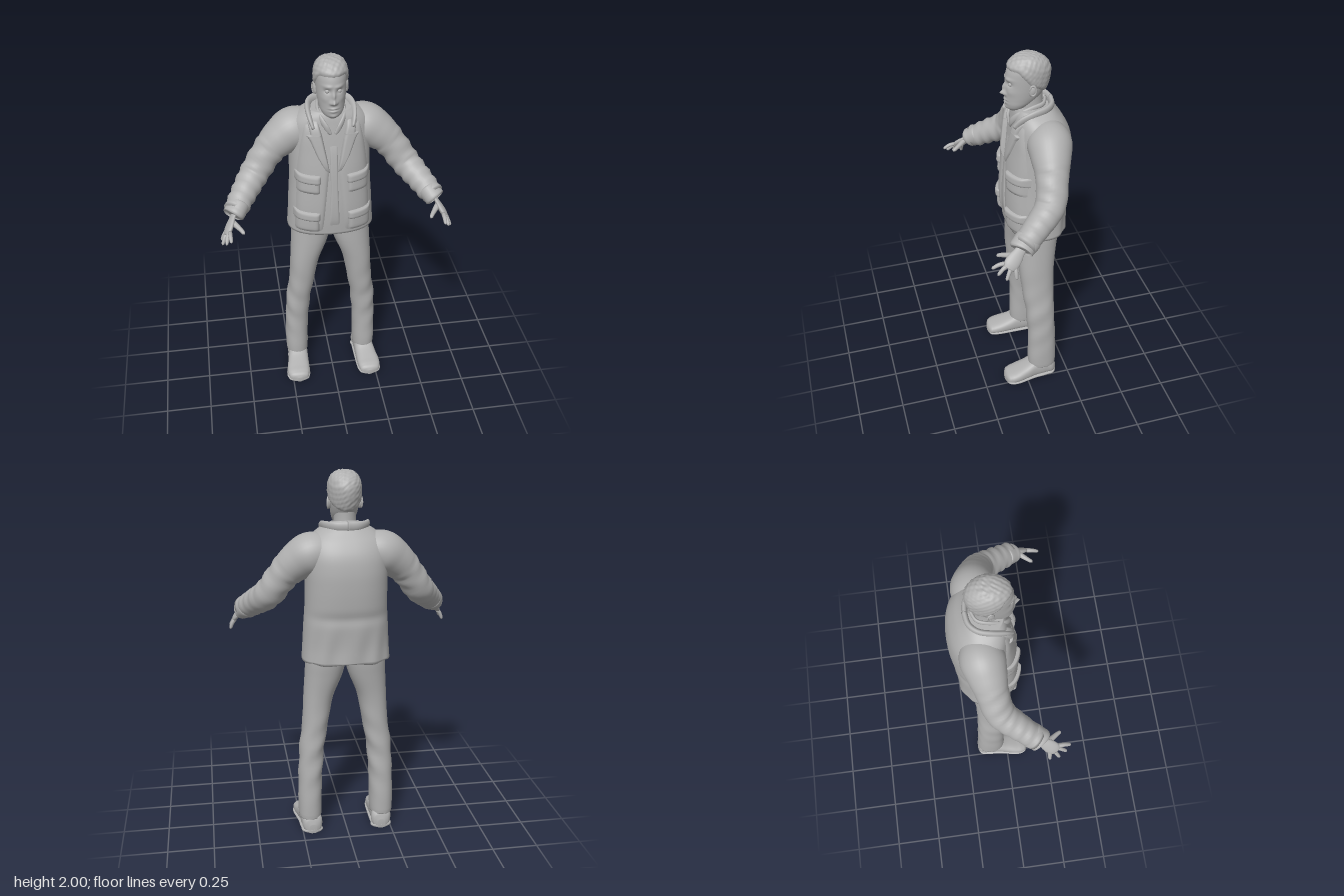
import * as THREE from 'three';

const cloth = new THREE.MeshStandardMaterial({ color: 0xb0b0b0 });
cloth.name = 'plain grey';

// Smooth grid surface; closed surfaces wrap in u and get end caps.
function surface(fn, nu, nv, closed = true) {
  const pos = [], idx = [], w = closed ? nu : nu + 1;
  for (let j = 0; j <= nv; j++) for (let i = 0; i < w; i++) pos.push(...fn(i / nu, j / nv));
  for (let j = 0; j < nv; j++) for (let i = 0; i < nu; i++) {
    const k = (i + 1) % w, a = j * w + i, b = j * w + k;
    idx.push(a, a + w, b, b, a + w, b + w);
  }
  if (closed) for (const j of [0, nv]) {
    const c = [0, 0, 0], n = pos.length / 3;
    for (let i = 0; i < w; i++) for (let d = 0; d < 3; d++) c[d] += pos[(j * w + i) * 3 + d] / w;
    pos.push(...c);
    for (let i = 0; i < w; i++) {
      const a = j * w + i, b = j * w + (i + 1) % w;
      if (j === 0) idx.push(n, a, b); else idx.push(n, b, a);
    }
  }
  const g = new THREE.BufferGeometry();
  g.setAttribute('position', new THREE.Float32BufferAttribute(pos, 3));
  g.setIndex(idx);
  g.computeVertexNormals();
  return g;
}

function mirrored(geo) {
  const g = geo.clone().scale(-1, 1, 1), ix = g.index.array;
  for (let i = 0; i < ix.length; i += 3) [ix[i], ix[i + 1]] = [ix[i + 1], ix[i]];
  g.computeVertexNormals();
  return g;
}

// Smooth interpolation of rows keyed by their first number.
function sampler(rows) {
  const n = rows[0].length;
  const it = new THREE.CubicInterpolant(rows.map(r => r[0]), rows.flat(), n, new Float32Array(n));
  return k => Array.from(it.evaluate(k));
}
const keyAt = (rows, v) => {
  const t = v * (rows.length - 1), i = Math.min(Math.floor(t), rows.length - 2);
  return THREE.MathUtils.lerp(rows[i][0], rows[i + 1][0], t - i);
};
const spow = (c, n) => Math.sign(c) * Math.abs(c) ** (2 / n);

// Upright body from rows [y, centre x, half width, front z, back z].
function loft(rows, { n = 2, seg = 40, sub = 6, deform = p => p } = {}) {
  const at = sampler(rows);
  return surface((u, v) => {
    const [y, cx, rx, zf, zb] = at(keyAt(rows, v)), a = u * Math.PI * 2;
    return deform([cx + rx * spow(Math.cos(a), n), y, (zf + zb) / 2 + (zf - zb) / 2 * spow(Math.sin(a), n)], a);
  }, seg, sub * (rows.length - 1));
}

// Tapered tube along points [x, y, z, radius]; flat squashes it across the wide axis.
function limb(pts, { wide = [0, 0, 1], flat = 1, seg = 20, sub = 6, deform = p => p } = {}) {
  const curve = new THREE.CatmullRomCurve3(pts.map(p => new THREE.Vector3(...p)));
  const rad = sampler(pts.map((p, i) => [i, p[3]]));
  return surface((u, v) => {
    const T = curve.getTangent(v), a = u * Math.PI * 2, r = rad(v * (pts.length - 1))[1];
    const N = new THREE.Vector3(...wide).addScaledVector(T, -T.dot(new THREE.Vector3(...wide))).normalize();
    const B = N.clone().cross(T);
    const p = curve.getPoint(v).addScaledVector(N, r * Math.cos(a)).addScaledVector(B, r * flat * Math.sin(a));
    return deform([p.x, p.y, p.z], v);
  }, seg, sub * (pts.length - 1));
}

const TORSO = [
  [1.02, 0, .236, .062, -.255], [1.1, 0, .23, .068, -.255], [1.2, 0, .224, .07, -.262], [1.3, 0, .217, .066, -.27],
  [1.42, 0, .214, .058, -.279], [1.52, 0, .214, .045, -.278], [1.6, 0, .212, .034, -.262],
  [1.66, 0, .195, .024, -.23], [1.7, 0, .155, .016, -.198], [1.728, 0, .11, .006, -.175]];
const torsoAt = sampler(TORSO), TN = 2.4;
const frontZ = (x, y) => {
  const [, , rx, zf, zb] = torsoAt(y);
  return (zf + zb) / 2 + (zf - zb) / 2 * Math.max(0, 1 - Math.abs(x / rx) ** TN) ** (1 / TN);
};

// Raised cloth panel on the chest from rows [y, inner x, outer x].
function panel(rows, thick, lift = 0) {
  const edge = t => 1 - Math.abs(2 * t - 1) ** 8;
  return surface((u, v) => {
    const t = v * (rows.length - 1), i = Math.min(Math.floor(t), rows.length - 2);
    const [y, x0, x1] = rows[i].map((q, k) => THREE.MathUtils.lerp(q, rows[i + 1][k], t - i));
    const x = THREE.MathUtils.lerp(x1, x0, u);
    return [x, y, frontZ(x, y) - .006 + (thick + lift + .006) * edge(u) * edge(v)];
  }, 16, 8 * (rows.length - 1), false);
}

const HEAD = [
  [1.708, 0, .02, .035, -.01], [1.722, 0, .042, .048, -.04], [1.745, 0, .058, .056, -.075], [1.775, 0, .067, .058, -.115],
  [1.81, 0, .073, .058, -.142], [1.85, 0, .077, .056, -.158], [1.89, 0, .079, .054, -.166], [1.925, 0, .079, .046, -.164],
  [1.955, 0, .071, .03, -.148], [1.977, 0, .054, .004, -.12], [1.988, 0, .034, -.022, -.092], [1.992, 0, .006, -.05, -.064]];
// Face relief: [x, y, spread x, spread y, depth]
const FACE = [[0, 1.807, .011, .012, .024], [0, 1.838, .008, .022, .014], [.015, 1.802, .007, .008, .007],
  [.03, 1.86, .016, .011, -.011], [.028, 1.886, .022, .008, .006], [0, 1.772, .02, .005, .007],
  [0, 1.756, .017, .005, .006], [0, 1.764, .024, .003, -.004], [0, 1.728, .02, .01, .006], [.045, 1.82, .018, .018, .004]];
const faceRelief = ([x, y, z], a) => {
  if (Math.sin(a) > 0) for (const [cx, cy, sx, sy, d] of FACE)
    z += d * Math.exp(-(((Math.abs(x) - cx) / sx) ** 2) - ((y - cy) / sy) ** 2);
  return [x, y, z];
};
// Hair swells out above the hairline and sinks under the skin below it.
const hairSwell = ([x, y, z], a) => {
  const s = Math.sin(a), line = s > 0 ? 1.86 + .07 * Math.min(1, s * 1.6) : 1.86 + .06 * s;
  const tuft = Math.sin(x * 210 + y * 90) * Math.sin(z * 190 + x * 60) * Math.sin(y * 160 + z * 70);
  const o = -.008 + .017 * THREE.MathUtils.smoothstep(y, line - .008, line + .014) + .003 * tuft;
  const d = new THREE.Vector3(x, y - 1.87, z + .06).normalize();
  return [x + d.x * o, y + d.y * o, z + d.z * o];
};

export function createModel() {
  const model = new THREE.Group();
  const add = (name, geo) => {
    const m = new THREE.Mesh(geo, cloth);
    m.name = name;
    model.add(m);
  };
  const pair = (name, geo) => { add(name + 'Left', geo); add(name + 'Right', mirrored(geo)); };

  // Head
  add('head', loft(HEAD, { seg: 96, sub: 8, deform: faceRelief }));
  add('hair', loft(HEAD, { seg: 72, sub: 6, deform: hairSwell }));
  add('neck', loft([[1.62, 0, .075, .0, -.15], [1.7, 0, .062, .0, -.14], [1.76, 0, .057, 0, -.135], [1.82, 0, .055, -.01, -.135]]));
  pair('eye', new THREE.SphereGeometry(.011, 16, 12).translate(.03, 1.86, .037));
  pair('ear', new THREE.SphereGeometry(1, 16, 12).scale(.011, .03, .019).rotateX(-.2).rotateY(-.3).translate(.079, 1.835, -.06));
  pair('earRim', new THREE.TorusGeometry(.017, .005, 8, 20).rotateY(Math.PI / 2).scale(1, 1.5, .9).rotateY(-.3).translate(.085, 1.838, -.062));

  // Jacket body with soft folds towards the hem
  add('jacket', loft(TORSO, { n: TN, seg: 72, sub: 7, deform: ([x, y, z], a) => {
    const back = Math.max(0, -Math.sin(a)), low = THREE.MathUtils.smoothstep(1.3 - y, 0, .25);
    const f = .005 * low * back * Math.sin(a * 11 + y * 9);
    return [x, y + .006 * back * (y < 1.03 ? Math.sin(a * 7) : 0), z + f + .008 * back * Math.exp(-(((y - 1.27) / .03) ** 2))];
  } }));
  pair('jacketFront', panel([[1.025, .055, .205], [1.2, .04, .2], [1.42, .018, .19], [1.55, .045, .17], [1.68, .075, .14]], .011));
  add('shirtPlacket', panel([[1.06, -.03, .035], [1.3, -.018, .024], [1.58, -.022, .024]], .006));
  pair('lapel', panel([[1.4, .018, .03], [1.5, .034, .085], [1.59, .05, .122], [1.615, .055, .14], [1.622, .057, .118], [1.69, .075, .128]], .014, .008));
  pair('shirtCollar', limb([[.012, 1.62, .036, .008], [.035, 1.66, .03, .015], [.06, 1.7, .002, .016], [.068, 1.73, -.06, .014],
    [.05, 1.74, -.125, .014], [0, 1.745, -.15, .014]], { wide: [0, 1, 0], flat: .6 }));
  pair('jacketCollar', limb([[.1, 1.655, .035, .014], [.112, 1.695, -.002, .022], [.115, 1.72, -.06, .026], [.1, 1.73, -.125, .026],
    [.06, 1.732, -.165, .026], [-.004, 1.734, -.178, .026]], { wide: [.3, 1, 0], flat: .55 }));

  // Pockets with flaps
  for (const [y0, y1, x0, x1] of [[1.28, 1.39, .062, .2], [1.04, 1.165, .068, .212]]) {
    pair('pocket', panel([[y0, x0 + .006, x1 - .006], [y1, x0 + .006, x1 - .006]], .022));
    pair('pocketFlap', panel([[y1 - .045, x0, x1], [y1 + .012, x0, x1]], .03));
  }

  // Sleeves and cuffs
  pair('sleeve', limb([[.08, 1.6, -.13, .085], [.18, 1.59, -.12, .112], [.25, 1.55, -.107, .101], [.32, 1.485, -.092, .083],
    [.4, 1.375, -.06, .077], [.465, 1.31, .025, .068], [.52, 1.255, .108, .06]], { seg: 32, sub: 8,
    deform: ([x, y, z], v) => {
      const f = v > .45 ? .003 * Math.sin(v * 62 + z * 30) : 0;
      return [x + f, y + f, z];
    } }));
  pair('cuff', limb([[.495, 1.28, .07, .058], [.502, 1.273, .08, .067], [.52, 1.254, .11, .064], [.53, 1.245, .125, .062], [.531, 1.244, .126, .045]],
    { seg: 28, flat: .85 }));

  // Hands
  const across = [-.33, .44, .84];
  pair('palm', limb([[.52, 1.255, .11, .026], [.536, 1.235, .135, .028], [.55, 1.212, .16, .037], [.564, 1.19, .184, .038], [.574, 1.174, .2, .028]],
    { wide: across, flat: .42 }));
  const tips = [[.553, 1.178, .279], [.578, 1.15, .256], [.599, 1.125, .217], [.601, 1.12, .166]];
  tips.forEach((tip, i) => {
    const s = .029 * (1 - i * 2 / 3);
    const b = [.565 + across[0] * s, 1.185 + across[1] * s, .19 + across[2] * s];
    const mix = t => b.map((q, d) => q + (tip[d] - q) * t);
    pair('finger', limb([[...mix(0), .011], [...mix(.45).map((q, d) => q + (d === 1 ? .005 : 0)), .0105], [...mix(.9), .008], [...mix(1), .002]], { seg: 12 }));
  });
  pair('thumb', limb([[.543, 1.225, .15, .016], [.517, 1.212, .185, .014], [.496, 1.203, .215, .011], [.487, 1.197, .23, .009], [.483, 1.194, .236, .002]],
    { seg: 12, wide: [0, 1, 0] }));

  // Trousers
  pair('trouserLeg', loft([[.085, .203, .062, -.022, -.178], [.11, .203, .064, -.018, -.18], [.3, .2, .065, -.018, -.175],
    [.5, .187, .068, -.005, -.168], [.65, .165, .071, .012, -.167], [.8, .146, .081, .025, -.172],
    [.93, .117, .102, .03, -.19], [1, .107, .108, .03, -.2], [1.08, .1, .108, .03, -.205]], { n: 2.2, deform: ([x, y, z], a) => {
    const f = .003 * Math.sin(y * 40 + a * 2) * Math.exp(-(((y - .45) / .2) ** 2));
    return [Math.max(x + f, -.004), y, z + f];
  } }));

  // Shoes run from heel to toe: [z, centre x, half width, height]
  const SHOE = [[-.183, .195, .02, .05], [-.172, .195, .044, .085], [-.12, .2, .055, .118], [-.05, .203, .058, .118], [0, .208, .062, .093],
    [.06, .214, .066, .072], [.1, .215, .06, .06], [.121, .213, .044, .047], [.13, .212, .012, .03]];
  const shoeAt = sampler(SHOE);
  const shoe = (grow, top) => surface((u, v) => {
    const [z, cx, rx, h] = shoeAt(keyAt(SHOE, v)), a = u * Math.PI * 2, t = Math.min(h, top) / 2;
    return [cx + rx * grow * spow(Math.cos(a), 2.6), t - t * spow(Math.sin(a), 2.6), z];
  }, 32, 48);
  pair('shoe', shoe(1, 1));
  pair('sole', shoe(1.06, .022));
  return model;
}
